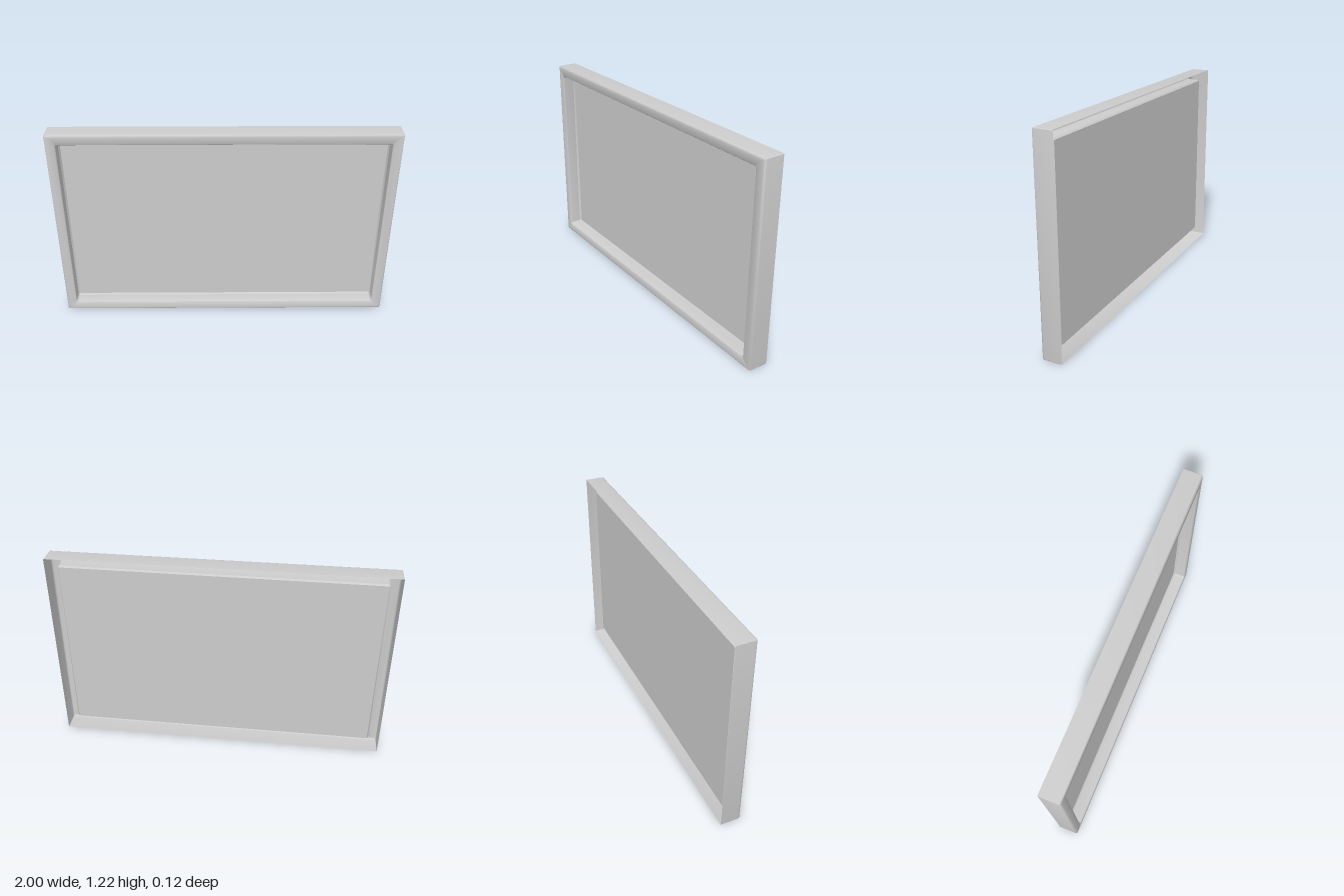
import * as THREE from 'three';
import { toCreasedNormals } from 'three/addons/utils/BufferGeometryUtils.js';

const W = 2, H = 1.22;      // outer size
const CORNER_STEPS = 4;

// Counter-clockwise rounded rectangle, moved inwards by `inset`
function loopPoints(inset, z, radius) {
  const points = [];
  const cx = W / 2 - inset - radius, cy = H / 2 - inset - radius;
  [[1, 1], [-1, 1], [-1, -1], [1, -1]].forEach(([sx, sy], corner) => {
    for (let k = 0; k <= CORNER_STEPS; k++) {
      const a = (corner + k / CORNER_STEPS) * Math.PI / 2;
      points.push(sx * cx + radius * Math.cos(a), H / 2 + sy * cy + radius * Math.sin(a), z);
    }
  });
  return points;
}

// Skin a list of [inset, z, cornerRadius] sections, optionally closing the last one
function skin(sections, cap = false) {
  const n = 4 * (CORNER_STEPS + 1);
  const positions = sections.flatMap(s => loopPoints(...s));
  const index = [];
  for (let i = 0; i < sections.length - 1; i++) {
    for (let j = 0; j < n; j++) {
      const a = i * n + j, b = i * n + (j + 1) % n;
      index.push(a, b, b + n, a, b + n, a + n);
    }
  }
  if (cap) {
    const last = (sections.length - 1) * n;
    const centre = sections.length * n;
    positions.push(0, H / 2, sections[sections.length - 1][1]);
    for (let j = 0; j < n; j++) index.push(last + j, last + (j + 1) % n, centre);
  }
  const geometry = new THREE.BufferGeometry();
  geometry.setAttribute('position', new THREE.Float32BufferAttribute(positions, 3));
  geometry.setIndex(index);
  return toCreasedNormals(geometry, 0.6);
}

export function createModel() {
  const group = new THREE.Group();
  const material = new THREE.MeshStandardMaterial({ color: 0xcccccc, side: THREE.DoubleSide });
  const add = (name, geometry) => {
    const mesh = new THREE.Mesh(geometry, material);
    mesh.name = name;
    group.add(mesh);
  };

  const front = 0.06, back = -0.06, panelZ = -0.02;
  const border = 0.06, bevel = 0.012, steps = 4;

  // Frame shell: outer wall, rounded front rim, recess wall; open at the back
  const frame = [[0, back, 0.005]];
  for (let k = 0; k <= steps; k++) {
    const a = k / steps * Math.PI / 2;
    frame.push([bevel * (1 - Math.cos(a)), front - bevel * (1 - Math.sin(a)), 0.005]);
  }
  const lip = 0.008;
  for (let k = 0; k <= steps; k++) {
    const a = k / steps * Math.PI / 2;
    frame.push([border - lip * (1 - Math.sin(a)), front - lip * (1 - Math.cos(a)), 0.012 + lip * (1 - Math.sin(a))]);
  }
  frame.push([border, panelZ + 0.01, 0.012]);
  add('frame', skin(frame));

  // Recessed panel with a narrow chamfer where it meets the recess wall
  add('panel', skin([[border, panelZ + 0.01, 0.012], [border + 0.008, panelZ, 0.006]], true));

  return group;
}
